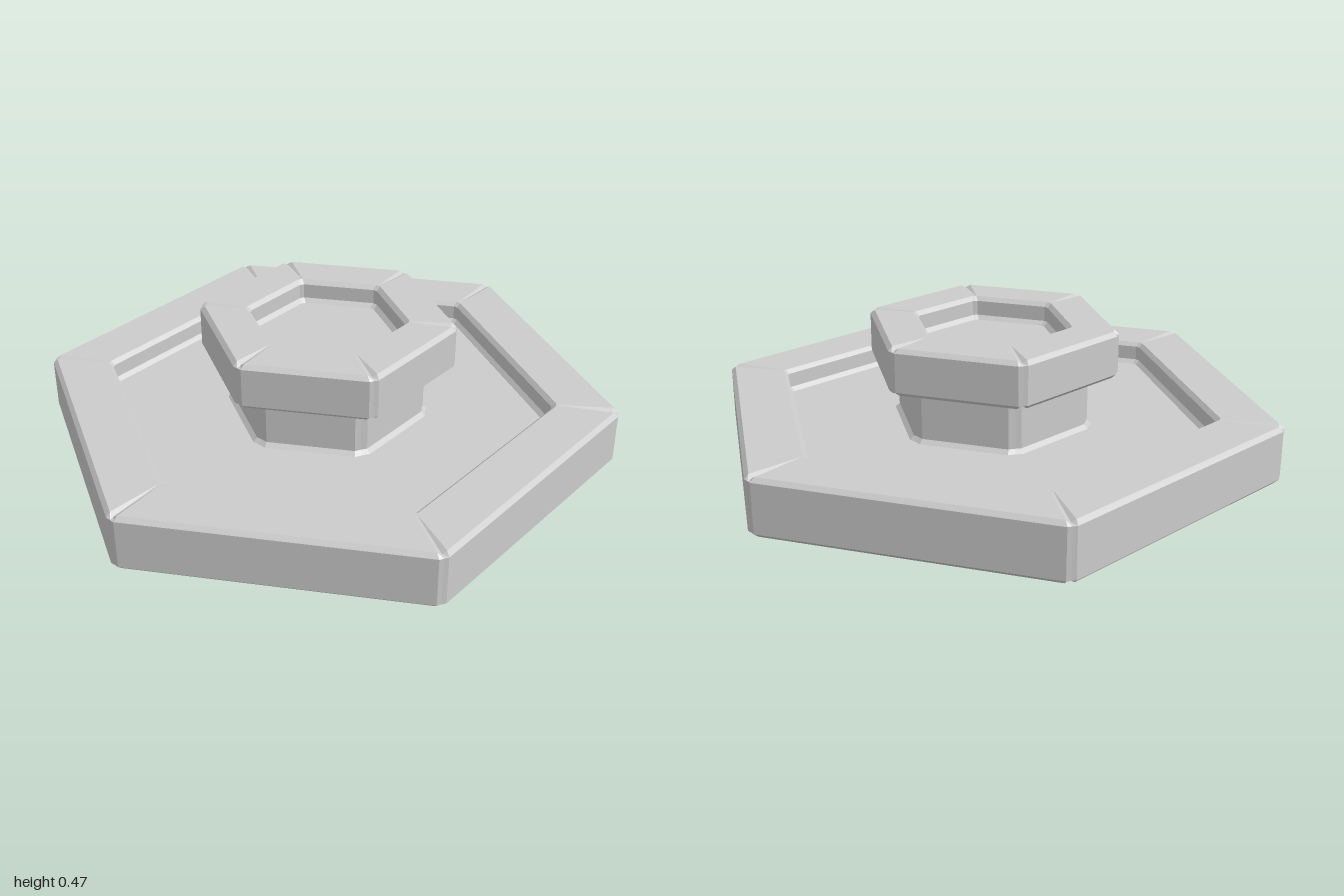
import * as THREE from 'three';

const material = new THREE.MeshStandardMaterial({
  color: 0xcccccc, flatShading: true, side: THREE.DoubleSide,
});

// One hexagonal ring: three points per corner (a cut corner with a slight groove).
// a = distance to the flat side, y = height, cut = corner cut, dip = vertical groove offset.
function hexRing([a, y, cut, dip = 0]) {
  const points = [];
  const R = a / Math.cos(Math.PI / 6);
  for (let k = 0; k < 6; k++) {
    const t = k * Math.PI / 3;
    const corner = new THREE.Vector3(Math.cos(t) * R, y, -Math.sin(t) * R);
    for (const side of [-1, 0, 1]) {
      const d = t + side * Math.PI * 2 / 3;   // direction along the neighbouring edge
      const p = corner.clone();
      if (side) p.add(new THREE.Vector3(Math.cos(d) * cut, 0, -Math.sin(d) * cut));
      else {
        p.multiplyScalar(R ? (R - cut * 0.55) / R : 0);
        p.y = y + dip;
      }
      points.push(p);
    }
  }
  return points;
}

// Skins a stack of hexagonal rings into one shell.
function hexShell(name, profile) {
  const rings = profile.map(hexRing);
  const triangles = [];
  for (let r = 0; r < rings.length - 1; r++) {
    const lo = rings[r], hi = rings[r + 1];
    for (let i = 0; i < lo.length; i++) {
      const j = (i + 1) % lo.length;
      triangles.push(lo[i], lo[j], hi[i]);
      if (profile[r + 1][0] > 0) triangles.push(lo[j], hi[j], hi[i]);
    }
  }
  const geometry = new THREE.BufferGeometry().setFromPoints(triangles);
  geometry.computeVertexNormals();
  const mesh = new THREE.Mesh(geometry, material);
  mesh.name = name;
  return mesh;
}

export function createModel() {
  const group = new THREE.Group();
  group.name = 'hexagonalPedestal';
  const c = 0.018, g = 0.01;

  // Wide tray: outer wall, raised rim and sunken floor, open underneath
  group.add(hexShell('baseTray', [
    [0.860, 0, c, g], [0.874, 0.014, c], [0.874, 0.186, c], [0.860, 0.2, c, -g],
    [0.690, 0.2, c * 0.5], [0.676, 0.186, c * 0.5], [0.676, 0.134, c * 0.5],
    [0.662, 0.12, c * 0.5], [0.316, 0.12, 0.03],
  ]));

  // Hollow post rising from the floor
  group.add(hexShell('post', [
    [0.316, 0.12, 0.03], [0.302, 0.134, 0.025], [0.302, 0.31, 0.025],
  ]));

  // Cap: overhanging ledge, raised rim and shallow recess
  group.add(hexShell('cap', [
    [0.302, 0.31, 0.025], [0.374, 0.31, c, g], [0.388, 0.324, c],
    [0.388, 0.458, c], [0.374, 0.472, c, -g], [0.246, 0.472, c * 0.5],
    [0.232, 0.458, c * 0.5], [0.232, 0.406, c * 0.5], [0.218, 0.392, c * 0.5],
    [0, 0.392, 0],
  ]));

  return group;
}
